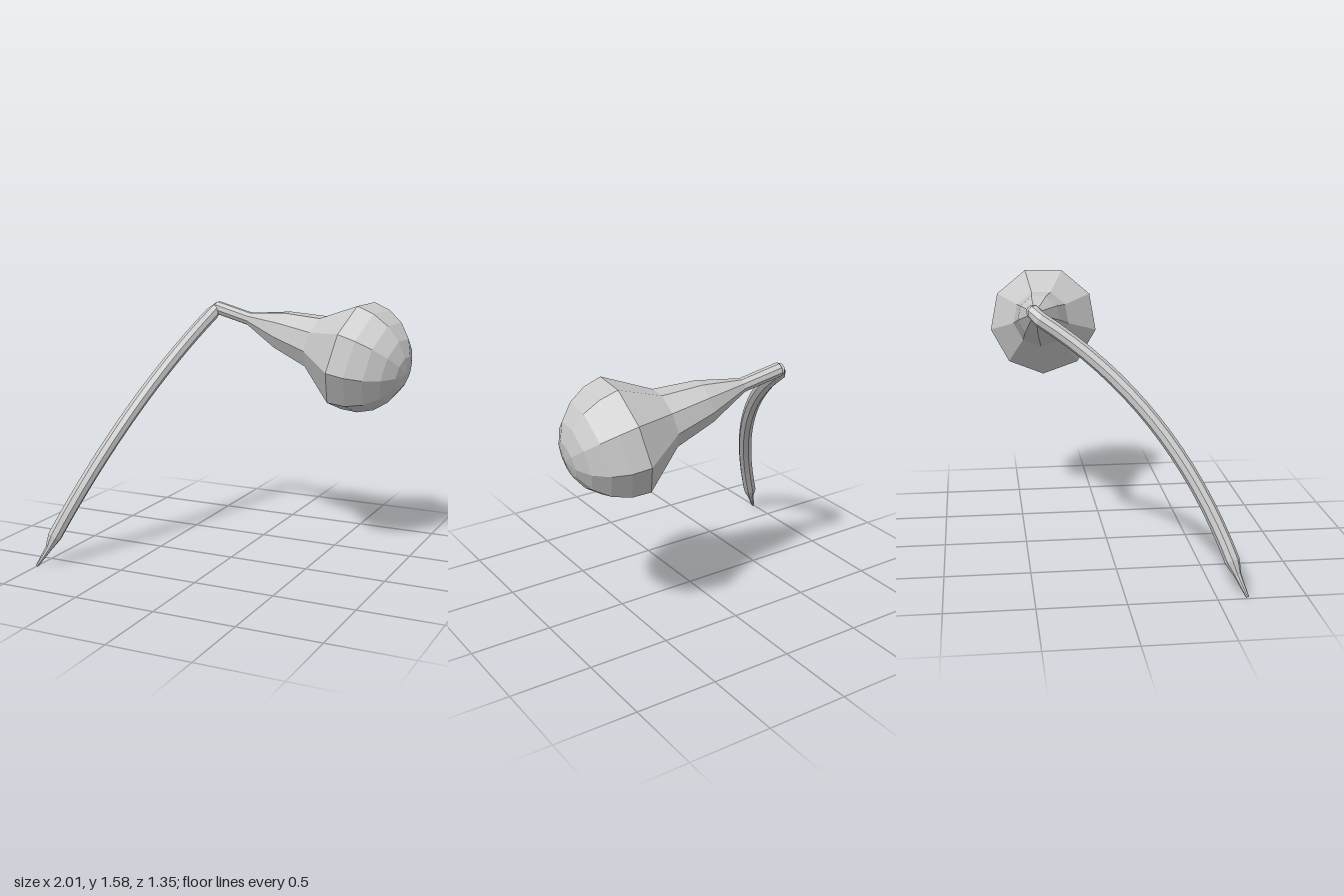
import * as THREE from 'three';

const V = (x, y, z) => new THREE.Vector3(x, y, z);

// Joins polygon rings {c: centre, d: axis, r: radius}; the first corner lies towards ref.
function loft(name, rings, sides, ref) {
  const pos = [], idx = [];
  for (const { c, d, r } of rings) {
    const u = ref.clone().addScaledVector(d, -ref.dot(d)).normalize();
    const v = d.clone().cross(u);
    for (let i = 0; i < sides; i++) {
      const a = (i / sides) * Math.PI * 2;
      const p = c.clone().addScaledVector(u, r * Math.cos(a)).addScaledVector(v, r * Math.sin(a));
      pos.push(p.x, p.y, p.z);
    }
  }
  for (let k = 0; k < rings.length - 1; k++) {
    for (let i = 0; i < sides; i++) {
      const j = (i + 1) % sides, a = k * sides, b = a + sides;
      idx.push(a + i, a + j, b + j, a + i, b + j, b + i);
    }
  }
  // end caps
  const last = (rings.length - 1) * sides;
  for (let i = 1; i < sides - 1; i++) {
    idx.push(0, i + 1, i, last, last + i, last + i + 1);
  }
  const geo = new THREE.BufferGeometry();
  geo.setAttribute('position', new THREE.Float32BufferAttribute(pos, 3));
  geo.setIndex(idx);
  const flat = geo.toNonIndexed();
  flat.computeVertexNormals();
  const mesh = new THREE.Mesh(flat, new THREE.MeshStandardMaterial({
    color: 0xcccccc, flatShading: true, side: THREE.DoubleSide,
  }));
  mesh.name = name;
  return mesh;
}

export function createModel() {
  const group = new THREE.Group();
  group.name = 'gourd';

  // Body: narrow neck swelling to a nine-sided bulb with a domed end
  const start = V(-0.31, 1.5, -0.45), end = V(1.0, 1.19, -0.295);
  const axis = end.clone().sub(start).normalize();
  const profile = [[0, 0.042], [0.25, 0.042], [0.5, 0.128], [0.75, 0.175], [1.0, 0.345]];
  const domeRings = 5;
  for (let i = 1; i <= domeRings; i++) {
    const a = (i / domeRings) * Math.PI / 2;
    profile.push([1.0 + 0.353 * Math.sin(a), Math.max(0.345 * Math.cos(a), 0.0005)]);
  }
  const bodyRings = profile.map(([s, r]) => ({ c: start.clone().addScaledVector(axis, s), d: axis, r }));
  group.add(loft('body', bodyRings, 9, V(0, -1, 0)));

  // Stem: pointed foot, long bowed shaft, short bend into the neck
  const curve = new THREE.QuadraticBezierCurve3(
    V(-0.905, 0.19, 0.595), V(-0.54, 1.0, 0.31), V(-0.335, 1.462, -0.415));
  const foot = V(-0.993, 0.008, 0.667), ankle = V(-0.935, 0.115, 0.622);
  const footDir = ankle.clone().sub(foot).normalize();
  const stemRings = [{ c: foot, d: footDir, r: 0.009 }, { c: ankle, d: footDir, r: 0.021 }];
  const steps = 16;
  for (let i = 0; i <= steps; i++) {
    stemRings.push({ c: curve.getPoint(i / steps), d: curve.getTangent(i / steps), r: 0.043 });
  }
  const bend = curve.getTangent(1).add(axis).normalize();
  stemRings.push({ c: start.clone().addScaledVector(axis, 0.005), d: bend, r: 0.04 });
  group.add(loft('stem', stemRings, 8, V(1, 0, 0)));

  return group;
}
